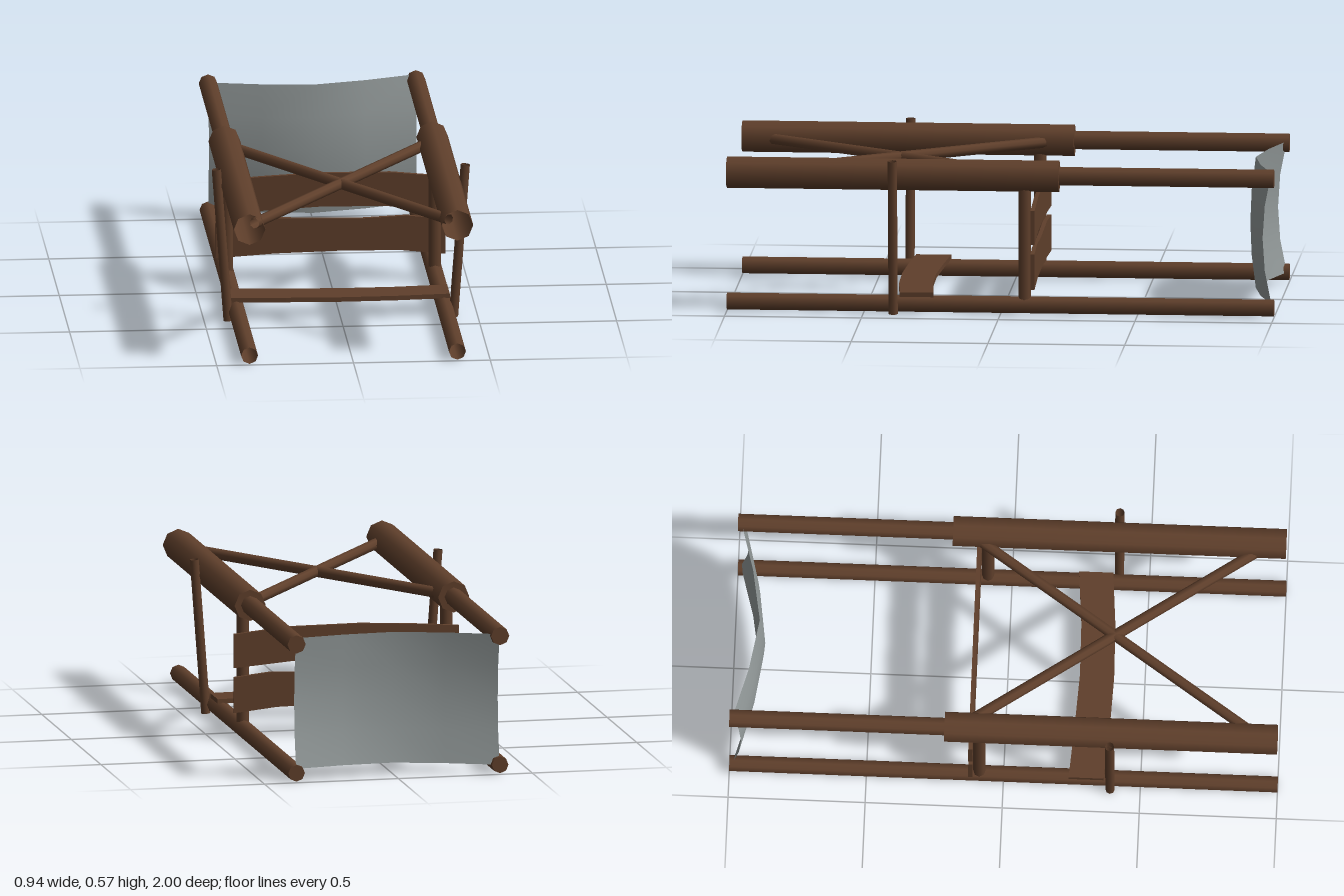
import * as THREE from 'three';

const wood = new THREE.MeshStandardMaterial({ color: 0x5f3f2b, side: THREE.DoubleSide });
const cloth = new THREE.MeshStandardMaterial({ color: 0x949b9b, side: THREE.DoubleSide });
const UP = new THREE.Vector3(0, 1, 0);

// Eight-sided hollow pole from a to b
function pole(name, a, b, radius) {
  const start = new THREE.Vector3(...a), end = new THREE.Vector3(...b);
  const dir = end.clone().sub(start);
  const mesh = new THREE.Mesh(new THREE.CylinderGeometry(radius, radius, dir.length(), 8, 1, true), wood);
  mesh.name = name;
  mesh.position.copy(start).add(end).multiplyScalar(0.5);
  mesh.quaternion.setFromUnitVectors(UP, dir.normalize());
  return mesh;
}

// Rail along z: open at the front, closed at the back
function rail(name, x, y, front, back, radius) {
  const group = new THREE.Group();
  group.name = name;
  const cap = new THREE.Mesh(new THREE.CircleGeometry(radius, 8), wood);
  cap.name = name + 'BackCap';
  cap.rotation.y = Math.PI;
  cap.position.set(x, y, back);
  group.add(pole(name + 'Tube', [x, y, front], [x, y, back], radius), cap);
  return group;
}

// Bent plank outlined by its upper and lower edges, extruded to a thickness
function plank(name, upper, lower, thickness) {
  const points = [...upper, ...[...lower].reverse()].map(([x, y]) => new THREE.Vector2(x, y));
  const geometry = new THREE.ExtrudeGeometry(new THREE.Shape(points), { depth: thickness, bevelEnabled: false });
  const mesh = new THREE.Mesh(geometry, wood);
  mesh.name = name;
  return mesh;
}

export function createModel() {
  const model = new THREE.Group();
  model.name = 'poleFrame';

  // Rails, posts and leaning stakes on both sides
  for (const [side, s] of [['left', 1], ['right', -1]]) {
    const x = 0.38 * s;
    model.add(
      rail(side + 'UpperThickRail', x, 0.513, 1, -0.215, 0.058),
      rail(side + 'UpperThinRail', x, 0.514, -0.215, -1, 0.034),
      rail(side + 'LowerRail', x, 0.036, 1, -1, 0.031),
      pole(side + 'Post', [x, 0.04, -0.088], [x, 0.53, -0.088], 0.023),
      pole(side + 'Stake', [0.412 * s, 0.002, 0.39], [0.455 * s, 0.574, 0.39], 0.017),
      // Diagonal braces cross between the upper rails
      pole(side + 'Brace', [0.355 * s, 0.511, -0.128], [-0.355 * s, 0.511, 0.908], 0.02)
    );
  }

  // Backrest slats
  const upperSlat = plank('upperBackSlat',
    [[-0.42, 0.39], [-0.25, 0.402], [-0.05, 0.412], [0.22, 0.41], [0.42, 0.39]],
    [[-0.42, 0.264], [-0.2, 0.277], [-0.03, 0.286], [0.2, 0.283], [0.42, 0.265]], 0.015);
  const lowerSlat = plank('lowerBackSlat',
    [[-0.42, 0.23], [-0.2, 0.245], [0.1, 0.237], [0.28, 0.245], [0.42, 0.23]],
    [[-0.42, 0.098], [-0.2, 0.112], [0.05, 0.118], [0.26, 0.115], [0.42, 0.098]], 0.015);
  upperSlat.position.z = lowerSlat.position.z = -0.127;

  // Seat slat, lying flat on the lower rails
  const seat = plank('seatSlat',
    [[-0.4, -0.238], [-0.2, -0.252], [0, -0.263], [0.2, -0.26], [0.4, -0.243]],
    [[-0.4, -0.366], [-0.2, -0.38], [0, -0.388], [0.2, -0.384], [0.4, -0.368]], 0.017);
  seat.geometry.scale(1, -1, 1);
  // Reverse the triangles again after the mirror
  const pos = seat.geometry.attributes.position;
  for (let i = 0; i < pos.count; i += 3) {
    const a = new THREE.Vector3().fromBufferAttribute(pos, i);
    const c = new THREE.Vector3().fromBufferAttribute(pos, i + 2);
    pos.setXYZ(i, c.x, c.y, c.z);
    pos.setXYZ(i + 2, a.x, a.y, a.z);
  }
  seat.geometry.computeVertexNormals();
  seat.rotation.x = Math.PI / 2;
  seat.position.y = 0.08;
  model.add(upperSlat, lowerSlat, seat);

  // Sagging cloth panel between the rear rail ends
  const panel = new THREE.PlaneGeometry(0.76, 0.485, 4, 4);
  const p = panel.attributes.position;
  for (let i = 0; i < p.count; i++) {
    const u = Math.abs(p.getX(i)) / 0.38, v = p.getY(i) / 0.2425;
    const sag = 0.085 * (1 - Math.pow(u, 1.4));
    p.setZ(i, -0.99 + sag + (0.02 + 0.012 * u) * (1 - v * v));
    p.setY(i, p.getY(i) + 0.285 + 0.008 * p.getX(i) / 0.38);
  }
  panel.computeVertexNormals();
  const sheet = new THREE.Mesh(panel, cloth);
  sheet.name = 'clothPanel';
  model.add(sheet);

  return model;
}
